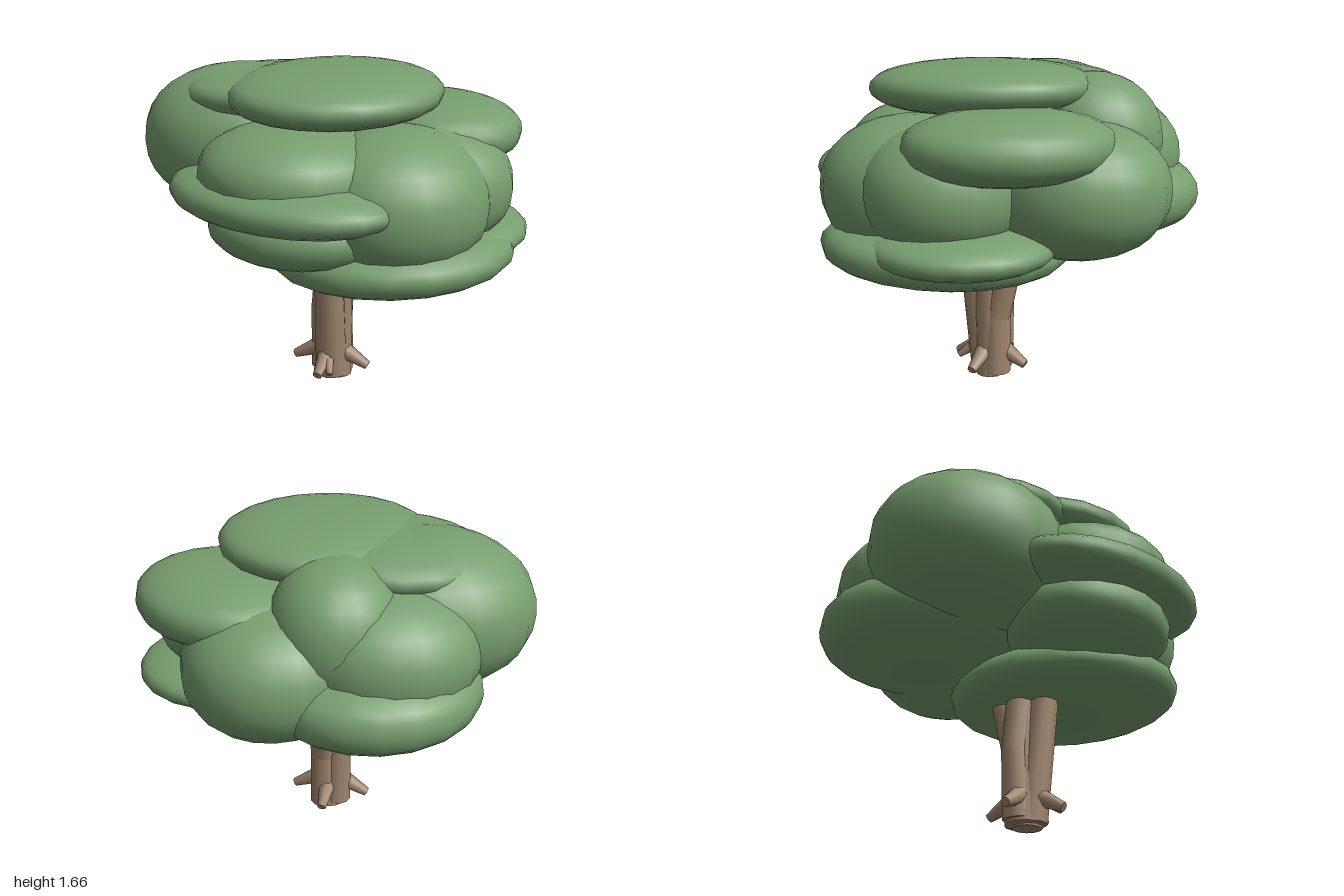
import * as THREE from 'three';
import { mergeVertices } from 'three/addons/utils/BufferGeometryUtils.js';

const leaf = new THREE.MeshStandardMaterial({ color: 0x779e6f });
leaf.name = 'leafGreen';
const bark = new THREE.MeshStandardMaterial({ color: 0xa0866d });
bark.name = 'barkBrown';

// Unit ball with a fuller profile: the lower the exponent, the blunter the rim
function puff(exponent) {
  const ball = new THREE.SphereGeometry(1, 20, 16);
  ball.deleteAttribute('uv');
  ball.deleteAttribute('normal');
  const p = ball.attributes.position;
  for (let i = 0; i < p.count; i++) {
    const y = p.getY(i), r = Math.hypot(p.getX(i), p.getZ(i));
    const k = r > 1e-6 ? Math.pow(r, exponent) / r : 0;
    p.setXYZ(i, p.getX(i) * k, Math.sign(y) * Math.pow(Math.abs(y), exponent), p.getZ(i) * k);
  }
  const merged = mergeVertices(ball);
  merged.computeVertexNormals();
  return merged;
}

// Tapered round limb between two points
function limb(name, a, b, rA, rB, sides = 12) {
  const from = new THREE.Vector3(...a), to = new THREE.Vector3(...b);
  const dir = to.clone().sub(from);
  const mesh = new THREE.Mesh(new THREE.CylinderGeometry(rB, rA, dir.length(), sides), bark);
  mesh.position.copy(from).add(to).multiplyScalar(0.5);
  mesh.quaternion.setFromUnitVectors(new THREE.Vector3(0, 1, 0), dir.normalize());
  mesh.name = name;
  return mesh;
}

export function createModel() {
  const model = new THREE.Group();
  model.name = 'tree';

  // Foliage: name, centre, radii, rotation
  const slabs = [
    ['topSlab', [0.06, 1.53, 0.07], [0.52, 0.13, 0.58], [0.02, 0, 0]],
    ['topRightSlab', [-0.29, 1.51, -0.02], [0.48, 0.115, 0.47], [0, 0, 0.03]],
    ['frontSlab', [-0.05, 1.115, 0.515], [0.61, 0.125, 0.39], [0, -0.3, 0]],
    ['bottomSlab', [0.36, 0.79, 0.1], [0.61, 0.16, 0.61], [-0.02, 0, 0.05]],
    ['leftBottomSlab', [0.55, 0.855, -0.1], [0.44, 0.11, 0.46], [0, 0, 0]],
    ['leftBackSlab', [0.45, 1.32, -0.31], [0.5, 0.165, 0.42], [0, -Math.PI / 4, 0]],
    ['backRightSlab', [-0.28, 0.99, -0.39], [0.53, 0.21, 0.54], [0, 0, 0]],
  ];
  const clumps = [
    ['rightClump', [-0.46, 1.25, -0.01], [0.54, 0.375, 0.49], [0, 0, 0]],
    ['frontClump', [-0.03, 1.21, 0.4], [0.45, 0.23, 0.45], [0, 0, 0]],
    ['lowerFrontClump', [0.02, 0.96, 0.39], [0.47, 0.19, 0.42], [0, 0, 0]],
    ['leftFrontClump', [0.42, 1.07, 0.23], [0.45, 0.35, 0.47], [0, 0, 0]],
    ['leftClump', [0.5, 1.1, 0.0], [0.43, 0.31, 0.4], [0, 0, 0]],
    ['backClump', [0.16, 1.09, -0.5], [0.43, 0.33, 0.46], [0, 0, 0]],
    ['backRightClump', [-0.33, 1.17, -0.36], [0.46, 0.32, 0.45], [0, 0, 0]],
    ['upperBackClump', [-0.13, 1.28, -0.44], [0.32, 0.33, 0.36], [0, 0, 0]],
  ];
  const foliage = new THREE.Group();
  foliage.name = 'foliage';
  for (const [list, shape] of [[slabs, puff(0.85)], [clumps, puff(0.92)]]) {
    for (const [name, pos, radii, turn] of list) {
      const mesh = new THREE.Mesh(shape, leaf);
      mesh.name = name;
      mesh.position.set(...pos);
      mesh.scale.set(...radii);
      mesh.rotation.set(...turn);
      foliage.add(mesh);
    }
  }
  model.add(foliage);

  // Trunk: a core with stems fused around it
  const trunk = new THREE.Group();
  trunk.name = 'trunk';
  trunk.add(
    limb('core', [0.03, 0.01, 0.035], [0.04, 0.85, 0.03], 0.1, 0.085),
    limb('frontStem', [0.035, 0.02, 0.06], [0.05, 0.85, 0.16], 0.085, 0.07),
    limb('lowerBackStem', [0.05, 0.015, 0.0], [0.05, 0.33, -0.005], 0.08, 0.075),
    limb('upperBackStem', [0.05, 0.3, 0.0], [0.04, 0.85, -0.125], 0.075, 0.07),
    limb('lowerRightStem', [-0.01, 0.03, 0.02], [-0.025, 0.38, 0.01], 0.08, 0.07),
    limb('upperRightStem', [-0.025, 0.36, 0.01], [0.025, 0.8, 0.03], 0.07, 0.075),
    limb('leftStem', [0.058, 0.0, 0.03], [0.065, 0.85, 0.03], 0.075, 0.075),
  );
  model.add(trunk);

  // Root stubs pointing outward and down on four sides
  const roots = new THREE.Group();
  roots.name = 'roots';
  for (let i = 0; i < 4; i++) {
    const c = Math.round(Math.cos(i * Math.PI / 2)), s = Math.round(Math.sin(i * Math.PI / 2));
    const at = (r, y) => [0.025 + c * r, y, 0.04 + s * r];
    roots.add(limb('root', at(0.06, 0.145), at(0.205, 0.07), 0.05, 0.024, 8));
  }
  roots.add(limb('rootTwig', [0.05, 0.12, 0.15], [0.08, 0.07, 0.21], 0.03, 0.016, 8));
  model.add(roots);

  return model;
}
